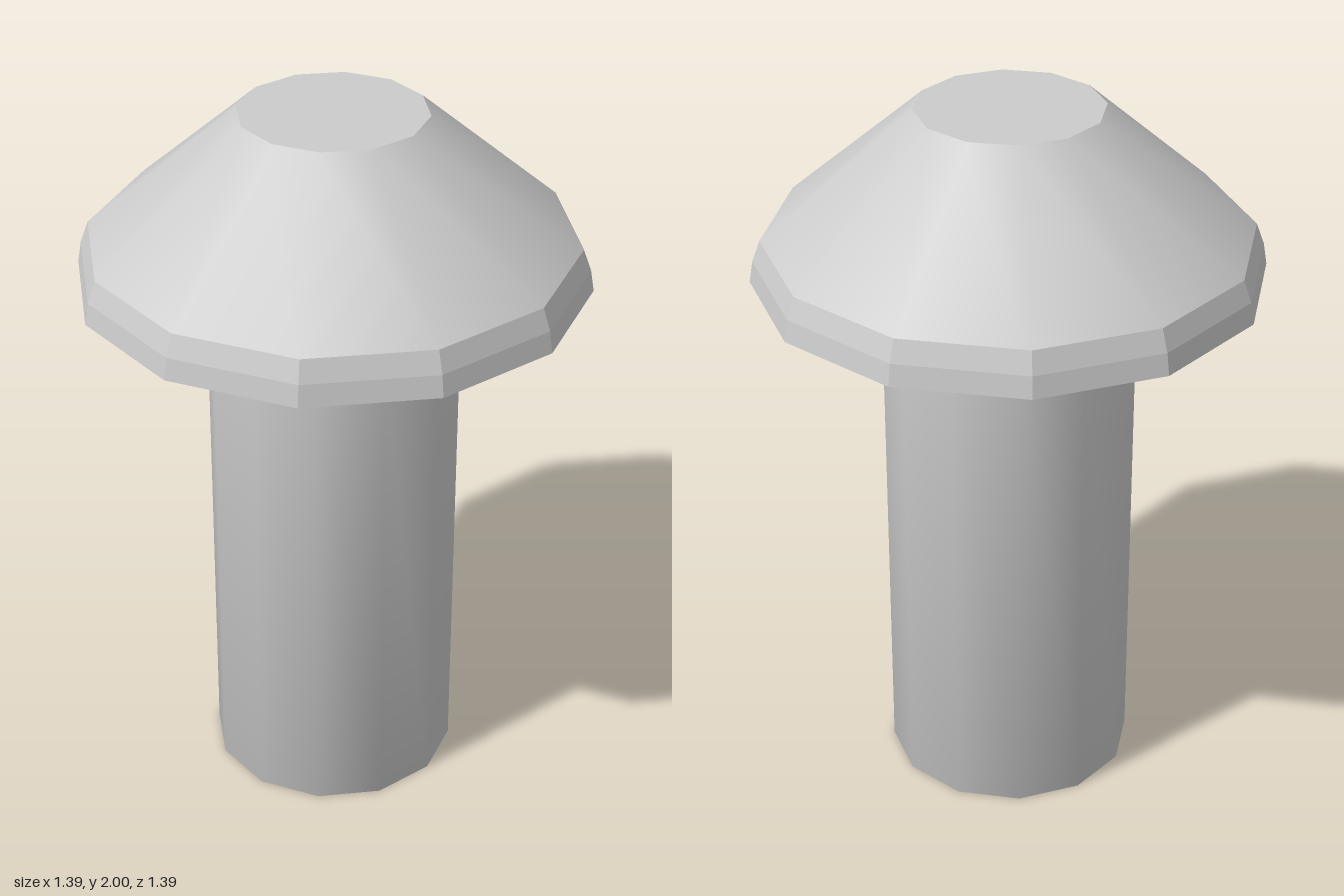
import * as THREE from 'three';

const SIDES = 12;

// Revolve a short [radius, height] profile, listed from bottom to top
function revolve(name, profile, flat = false) {
  const points = profile.map(([r, y]) => new THREE.Vector2(r, y));
  const material = new THREE.MeshStandardMaterial({ color: 0xcccccc, flatShading: flat });
  const mesh = new THREE.Mesh(new THREE.LatheGeometry(points, SIDES), material);
  mesh.name = name;
  return mesh;
}

export function createModel() {
  const model = new THREE.Group();
  model.name = 'mushroom';

  // Stem with its closed foot, blending softly into the underside of the cap
  model.add(revolve('stemAndUnderside', [
    [0, 0], [0.347, 0], [0.347, 1.41], [0.347, 1.46], [0.697, 1.52],
  ]));

  // Faceted rim of the cap
  model.add(revolve('capRim', [[0.697, 1.52], [0.687, 1.58], [0.665, 1.64]], true));

  // Smooth sloping side of the cap
  model.add(revolve('capSlope', [[0.665, 1.64], [0.255, 2]]));

  // Flat top of the cap
  model.add(revolve('capTop', [[0.255, 2], [0, 2]]));

  return model;
}
